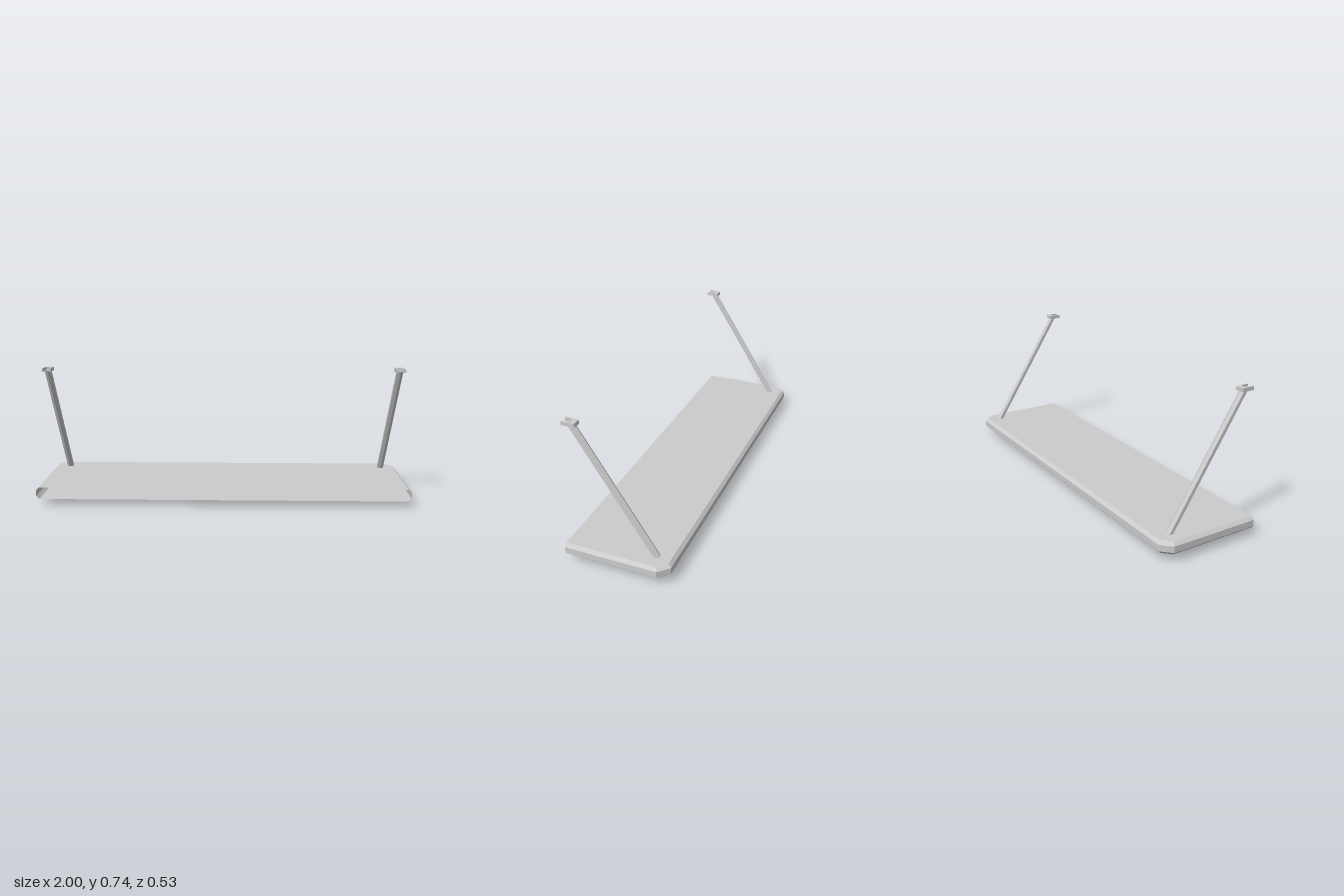
import * as THREE from 'three';

const material = new THREE.MeshStandardMaterial({
  color: 0xcccccc, flatShading: true, side: THREE.DoubleSide,
});

// Skin consecutive rings of equal point count; optionally wrap each ring and cap both ends.
function loft(rings, wrap) {
  const n = rings[0].length, pos = rings.flat(2), idx = [];
  for (let r = 0; r < rings.length - 1; r++) {
    for (let i = 0; i < (wrap ? n : n - 1); i++) {
      const a = r * n + i, b = r * n + (i + 1) % n;
      idx.push(a, b, b + n, a, b + n, a + n);
    }
  }
  const last = (rings.length - 1) * n;
  for (let i = 1; i < n - 1; i++) {
    idx.push(0, i + 1, i, last, last + i, last + i + 1);
  }
  const g = new THREE.BufferGeometry();
  g.setAttribute('position', new THREE.Float32BufferAttribute(pos, 3));
  g.setIndex(idx);
  const flat = g.toNonIndexed();
  flat.computeVertexNormals();
  return flat;
}

function add(parent, geometry, name) {
  const mesh = new THREE.Mesh(geometry, material);
  mesh.name = name;
  parent.add(mesh);
  return mesh;
}

// Outline of the panel at one height, open along the wall side
function panelRing(y, inset) {
  const x = 1 - inset, z = -0.265 + inset, c = 0.052 - inset * 0.6;
  return [[x, y, 0.265], [x, y, z + c], [x - c, y, z],
    [-x + c, y, z], [-x, y, z + c], [-x, y, 0.265]];
}

// Six-sided ring, stretched along z where it cuts a slanted rod
function hexRing(y, z, rx, rz) {
  return Array.from({ length: 6 }, (_, i) => {
    const a = -i * Math.PI / 3;
    return [rx * Math.sin(a), y, z + rz * Math.cos(a)];
  });
}

function bracketGeometry() {
  // Drawn in x, -z: chamfered nose, notch open to the wall
  const half = [[0.018, -0.195], [0.024, -0.201], [0.024, -0.265],
    [0.017, -0.265], [0.016, -0.235], [0.009, -0.222]];
  const points = [...half, ...half.map(([x, y]) => [-x, y]).reverse()];
  const shape = new THREE.Shape(points.map(([x, y]) => new THREE.Vector2(x, y)));
  const g = new THREE.ExtrudeGeometry(shape, { depth: 0.019, bevelEnabled: false });
  return g.rotateX(-Math.PI / 2).translate(0, 0.722, 0);
}

export function createModel() {
  const model = new THREE.Group();
  model.name = 'canopy';

  // Hollow panel with bevelled rim
  add(model, loft([panelRing(0.036, 0.016), panelRing(0.052, 0),
    panelRing(0.085, 0), panelRing(0.101, 0.016)], false), 'panel');

  // Slanted rods with wall brackets and tapered ends under the panel
  for (const side of [1, -1]) {
    const support = new THREE.Group();
    support.name = side > 0 ? 'leftSupport' : 'rightSupport';
    support.position.x = side * 0.91;
    add(support, loft([hexRing(0.085, -0.185, 0.018, 0.0215),
      hexRing(0.724, 0.226, 0.018, 0.0215)], true), 'rod');
    add(support, loft([hexRing(0, -0.185, 0.006, 0.007),
      hexRing(0.018, -0.185, 0.01, 0.011),
      hexRing(0.036, -0.185, 0.015, 0.0175),
      hexRing(0.06, -0.185, 0.016, 0.018)], true), 'rodTip');
    add(support, bracketGeometry(), 'wallBracket');
    model.add(support);
  }
  return model;
}
